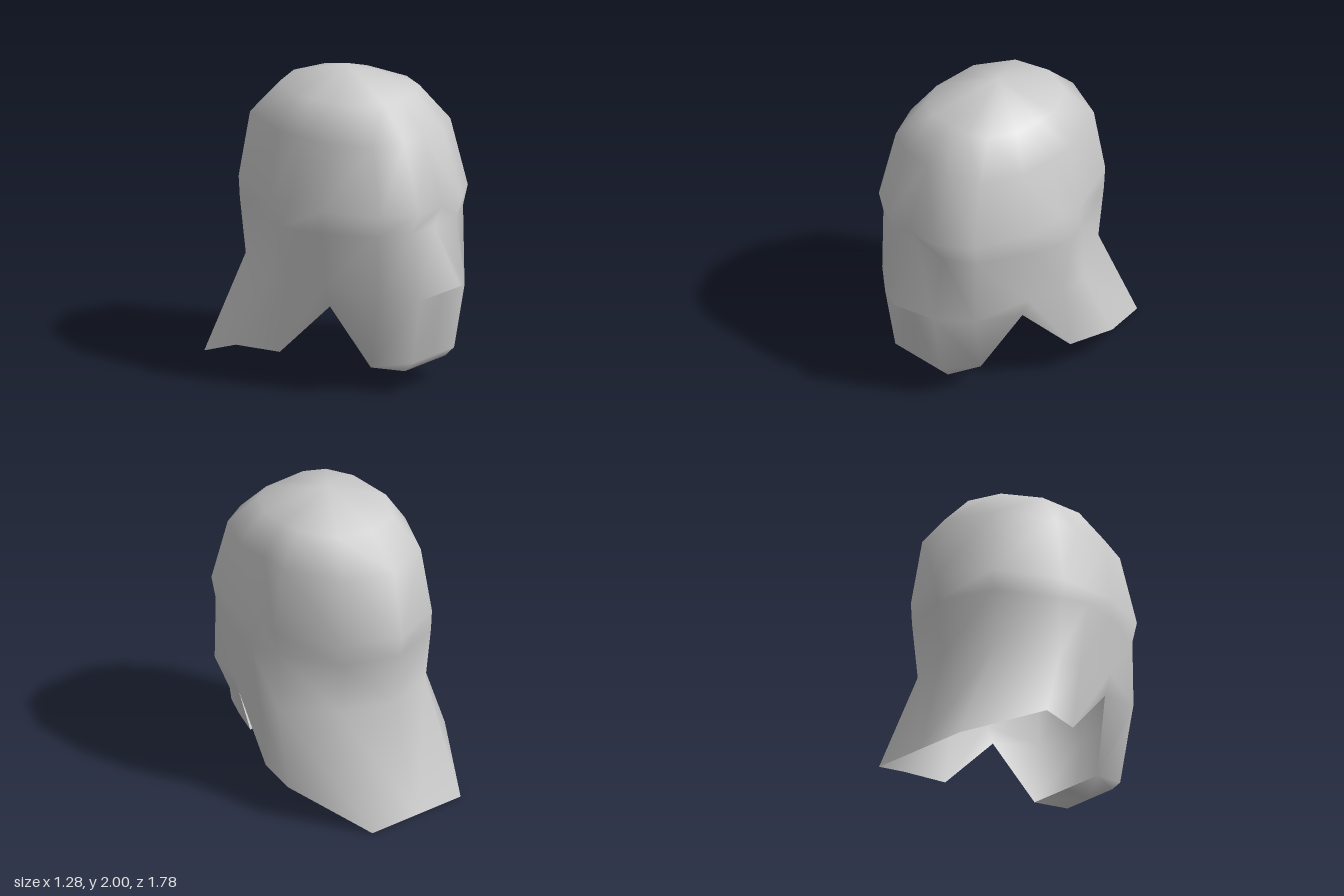
import * as THREE from 'three';
import { mergeVertices } from 'three/addons/utils/BufferGeometryUtils.js';

const steel = new THREE.MeshStandardMaterial({ color: 0xcccccc, side: THREE.DoubleSide });
steel.name = 'steel grey';

// Level ring: [x, z] points of the left half, from front centre round to back centre
const ring = (y, pts) => pts.map(([x, z]) => [x, y, z]);
// Copy of a row with its first points replaced
const vary = (row, ...first) => row.map((p, i) => first[i] || p);

// Skins consecutive half rows, top to bottom, and mirrors them across x = 0
function skin(rows) {
  const pos = [];
  const same = (p, q) => p.every((v, i) => Math.abs(v - q[i]) < 1e-6);
  const mirror = ([x, y, z]) => [x === 0 ? 0 : -x, y, z];
  const tri = (a, b, c) => {
    if (same(a, b) || same(b, c) || same(a, c)) return;
    pos.push(...a, ...b, ...c, ...mirror(a), ...mirror(c), ...mirror(b));
  };
  for (let r = 0; r < rows.length - 1; r++) {
    for (let i = 0; i < rows[r].length - 1; i++) {
      const a = rows[r][i], b = rows[r][i + 1];
      const c = rows[r + 1][i], d = rows[r + 1][i + 1];
      tri(a, c, d);
      tri(a, d, b);
    }
  }
  let geo = new THREE.BufferGeometry();
  geo.setAttribute('position', new THREE.Float32BufferAttribute(pos, 3));
  geo = mergeVertices(geo);
  geo.computeVertexNormals();
  return geo;
}

export function createModel() {
  // Dome: apex, crown, temples, brow
  const apex = ring(2, Array(8).fill([0, -0.03]));
  const crown = ring(1.86, [[0, 0.4], [0.15, 0.4], [0.28, 0.33], [0.36, 0.16], [0.36, -0.02], [0.36, -0.16], [0.22, -0.39], [0, -0.46]]);
  const temples = ring(1.65, [[0, 0.6], [0.19, 0.6], [0.38, 0.5], [0.5, 0.25], [0.5, 0], [0.5, -0.18], [0.32, -0.55], [0, -0.68]]);
  const brow = ring(1.22, [[0, 0.75], [0.21, 0.74], [0.43, 0.6], [0.57, 0.24], [0.57, -0.02], [0.57, -0.18], [0.36, -0.61], [0, -0.75]]);

  // Recessed face top with the ear ridge at the sides
  const eyes = ring(1.08, [[0, 0.68], [0.22, 0.68], [0.42, 0.57], [0.57, 0.24], [0.64, -0.04], [0.57, -0.2], [0.36, -0.6], [0, -0.73]]);

  // Nose tip in front, nape at the back; then the underside of the nose
  const nose = [[0, 0.72, 0.89], [0.22, 0.65, 0.75], [0.42, 0.65, 0.58], [0.55, 0.72, 0.25],
    [0.57, 0.65, -0.04], [0.57, 0.68, -0.22], [0.35, 0.72, -0.56], [0, 0.72, -0.68]];
  const underNose = vary(nose, [0, 0.65, 0.75]);

  // Jaw, side notch and flared neck guard
  const rim = [[0, 0.22, 0.68], [0.2, 0.22, 0.68], [0.28, 0.15, 0.4], [0.5, 0.58, 0.25],
    [0.57, 0.22, -0.1], [0.64, 0.22, -0.4], [0.36, 0, -0.89], [0, 0, -0.89]];
  // Chin bevel and flat plate beneath the chin
  const chin = vary(rim, [0, 0.15, 0.61], [0.2, 0.15, 0.61]);
  const chinPlate = vary(rim, [0, 0.15, 0.4], [0.28, 0.15, 0.4]);

  const helmet = new THREE.Mesh(
    skin([apex, crown, temples, brow, eyes, nose, underNose, rim, chin, chinPlate]), steel);
  helmet.name = 'helmetShell';

  const group = new THREE.Group();
  group.name = 'helmet';
  group.add(helmet);
  return group;
}
